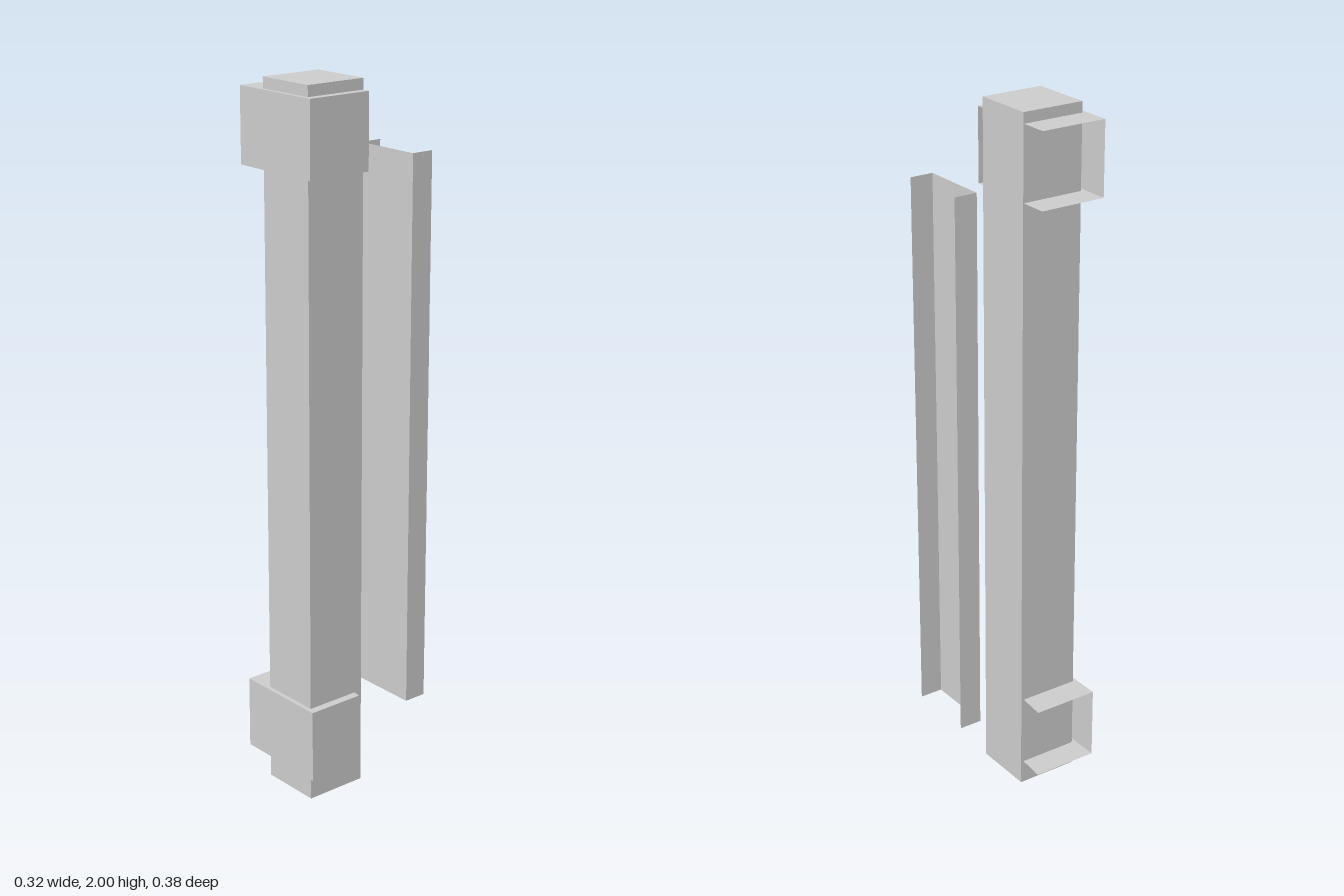
import * as THREE from 'three';

const material = new THREE.MeshStandardMaterial({ color: 0xcccccc, flatShading: true, side: THREE.DoubleSide });

function addMesh(parent, name, geometry) {
  const mesh = new THREE.Mesh(geometry, material);
  mesh.name = name;
  parent.add(mesh);
  return mesh;
}

// Upright thin sheet that follows a plan path of [x, z] points
function sheet(path, y0, y1) {
  const positions = [];
  for (let i = 0; i < path.length - 1; i++) {
    const [ax, az] = path[i], [bx, bz] = path[i + 1];
    positions.push(ax, y0, az, ax, y1, az, bx, y1, bz);
    positions.push(ax, y0, az, bx, y1, bz, bx, y0, bz);
  }
  const geometry = new THREE.BufferGeometry();
  geometry.setAttribute('position', new THREE.Float32BufferAttribute(positions, 3));
  geometry.computeVertexNormals();
  return geometry;
}

// Flat horizontal plate with a plan outline, facing up (1) or down (-1)
function plate(outline, y, facing) {
  const shape = new THREE.Shape(outline.map(([x, z]) => new THREE.Vector2(x, -facing * z)));
  return new THREE.ShapeGeometry(shape).rotateX(-facing * Math.PI / 2).translate(0, y, 0);
}

// Collar around the post, open at the back and on the -x side
function collar(name, y0, y1, sideBack) {
  const group = new THREE.Group();
  group.name = name;
  const outline = [[0.12, sideBack], [0.12, 0.189], [-0.165, 0.189], [-0.165, -0.005]];
  addMesh(group, 'collarWalls', sheet(outline.slice(0, 3), y0, y1));
  addMesh(group, 'collarTop', plate(outline, y1, 1));
  addMesh(group, 'collarBottom', plate(outline, y0, -1));
  return group;
}

export function createModel() {
  const model = new THREE.Group();
  model.name = 'bracketedPost';

  // Square post
  addMesh(model, 'post', new THREE.BoxGeometry(0.181, 2, 0.183)).position.set(0.006, 1, 0.085);

  // Upper and lower collars
  model.add(collar('upperCollar', 1.763, 1.97, -0.005));
  model.add(collar('lowerCollar', 0.07, 0.28, 0.02));

  // Detached channel behind the post: a web with two flanges turned back
  const channel = [[0.16, -0.189], [0.16, -0.122], [-0.045, -0.122], [-0.045, -0.189]];
  addMesh(model, 'backChannel', sheet(channel, 0.233, 1.802));

  return model;
}
